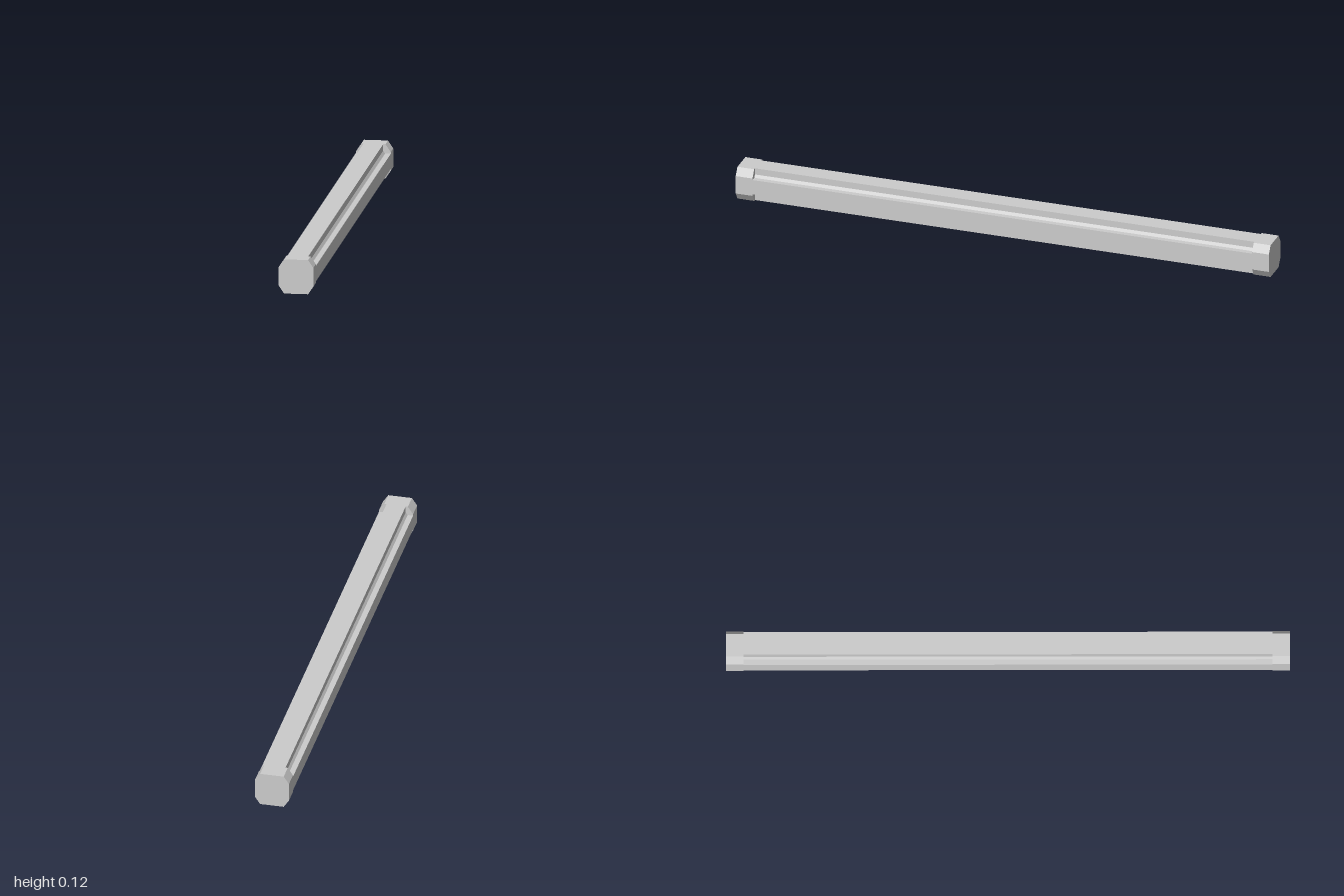
import * as THREE from 'three';

const HALF = 0.062;      // half width and half height of the bar
const BODY_END = 0.937;  // where the end caps begin
const BAR_END = 1;

// Corner profiles, first quadrant, from the side flat round to the top flat
const CAP_CORNER = [[HALF, 0.034], [0.043, HALF]];
const GROOVE_CORNER = [[HALF, 0.028], [0.042, 0.028], [0.035, 0.038], [0.035, HALF]];

// Mirrors a corner into all four quadrants, counter-clockwise
function fourCornerShape(corner) {
  const back = [...corner].reverse();
  const points = [
    ...corner,
    ...back.map(([x, y]) => [-x, y]),
    ...corner.map(([x, y]) => [-x, -y]),
    ...back.map(([x, y]) => [x, -y]),
  ];
  return new THREE.Shape(points.map(([x, y]) => new THREE.Vector2(x, y)));
}

export function createModel() {
  const group = new THREE.Group();
  group.name = 'groovedBar';
  const material = new THREE.MeshStandardMaterial({ color: 0xcccccc, flatShading: true });

  function addPrism(name, corner, z0, z1) {
    const geometry = new THREE.ExtrudeGeometry(fourCornerShape(corner), {
      depth: z1 - z0,
      bevelEnabled: false,
    });
    geometry.translate(0, HALF, z0);
    const mesh = new THREE.Mesh(geometry, material);
    mesh.name = name;
    group.add(mesh);
  }

  // Long body with a groove cut along each corner
  addPrism('groovedBody', GROOVE_CORNER, -BODY_END, BODY_END);

  // Solid octagonal blocks closing both ends
  addPrism('frontCap', CAP_CORNER, BODY_END, BAR_END);
  addPrism('backCap', CAP_CORNER, -BAR_END, -BODY_END);

  return group;
}
